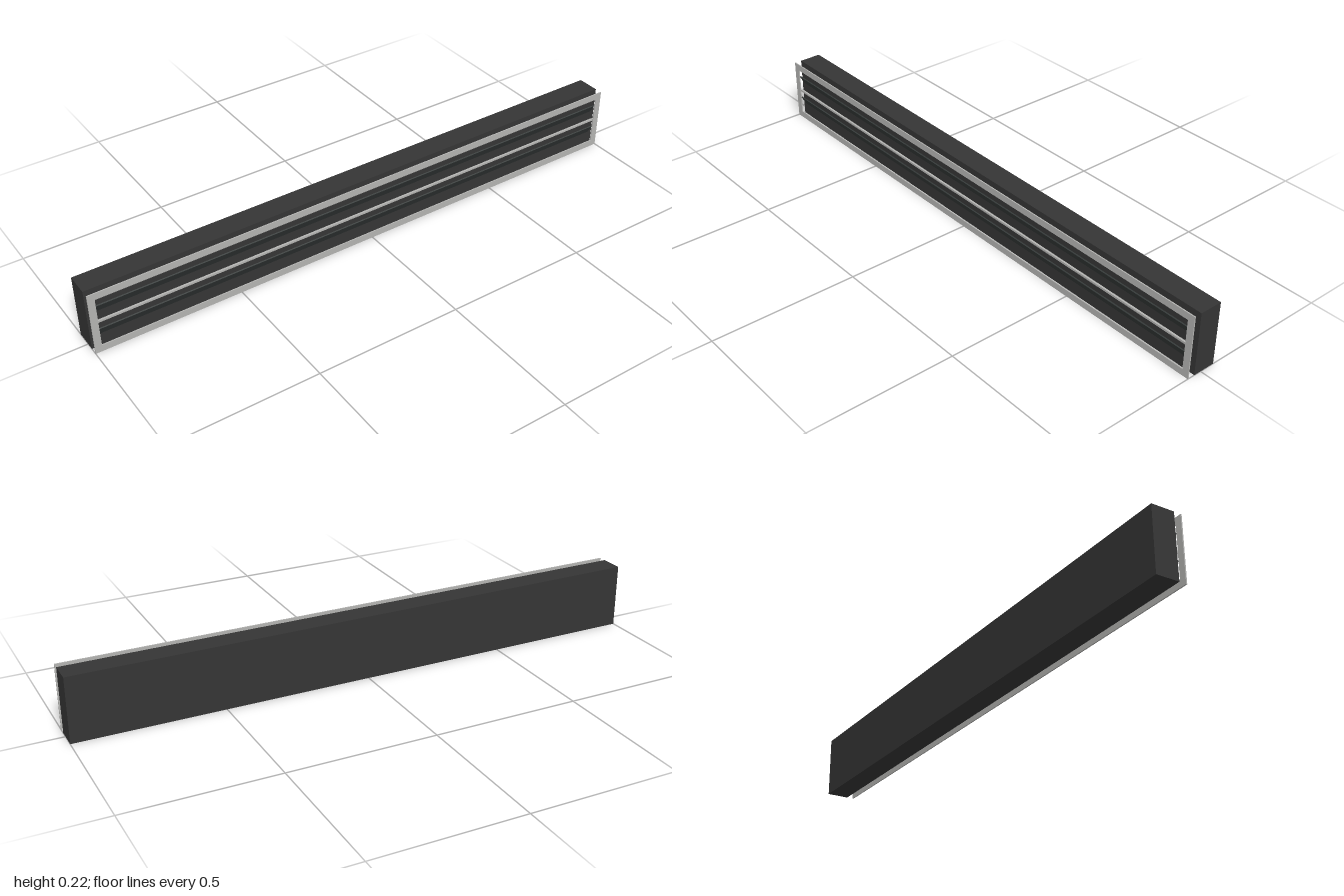
import * as THREE from 'three';

export function createModel() {
  const model = new THREE.Group();
  model.name = 'linearVent';

  const material = (name, color) => {
    const m = new THREE.MeshStandardMaterial({ color });
    m.name = name;
    return m;
  };
  const housingDark = material('housing dark grey', 0x353535);
  const slatDark = material('slat charcoal', 0x353a39);
  const metal = material('light metal', 0xb4b4b2);

  const add = (name, geometry, mat, x, y, z) => {
    const mesh = new THREE.Mesh(geometry, mat);
    mesh.name = name;
    mesh.position.set(x, y, z);
    model.add(mesh);
    return mesh;
  };

  const height = 0.22, border = 0.023, opening = 2 - 2 * border;

  // Solid housing behind the grille
  add('housing', new THREE.BoxGeometry(2, height, 0.079), housingDark, 0, height / 2, -0.0135);

  // Thin rectangular frame floating in front of the housing
  const rectangle = (Type, x, y0, y1) => new Type([
    new THREE.Vector2(-x, y0), new THREE.Vector2(x, y0),
    new THREE.Vector2(x, y1), new THREE.Vector2(-x, y1),
  ]);
  const outline = rectangle(THREE.Shape, 1, 0, height);
  outline.holes.push(rectangle(THREE.Path, 1 - border, border, height - border));
  add('frontFrame', new THREE.ExtrudeGeometry(outline, { depth: 0.004, bevelEnabled: false }), metal, 0, 0, 0.049);

  // Central divider bar
  add('centreBar', new THREE.BoxGeometry(opening, 0.007, 0.007), metal, 0, 0.111, 0.0465);

  // Tilted slats, upper edge towards the front
  for (const [name, y] of [['upperSlat', 0.155], ['lowerSlat', 0.068]]) {
    const slat = add(name, new THREE.BoxGeometry(opening, 0.036, 0.004), slatDark, 0, y, 0.04);
    slat.rotation.x = 0.5;
  }

  return model;
}
